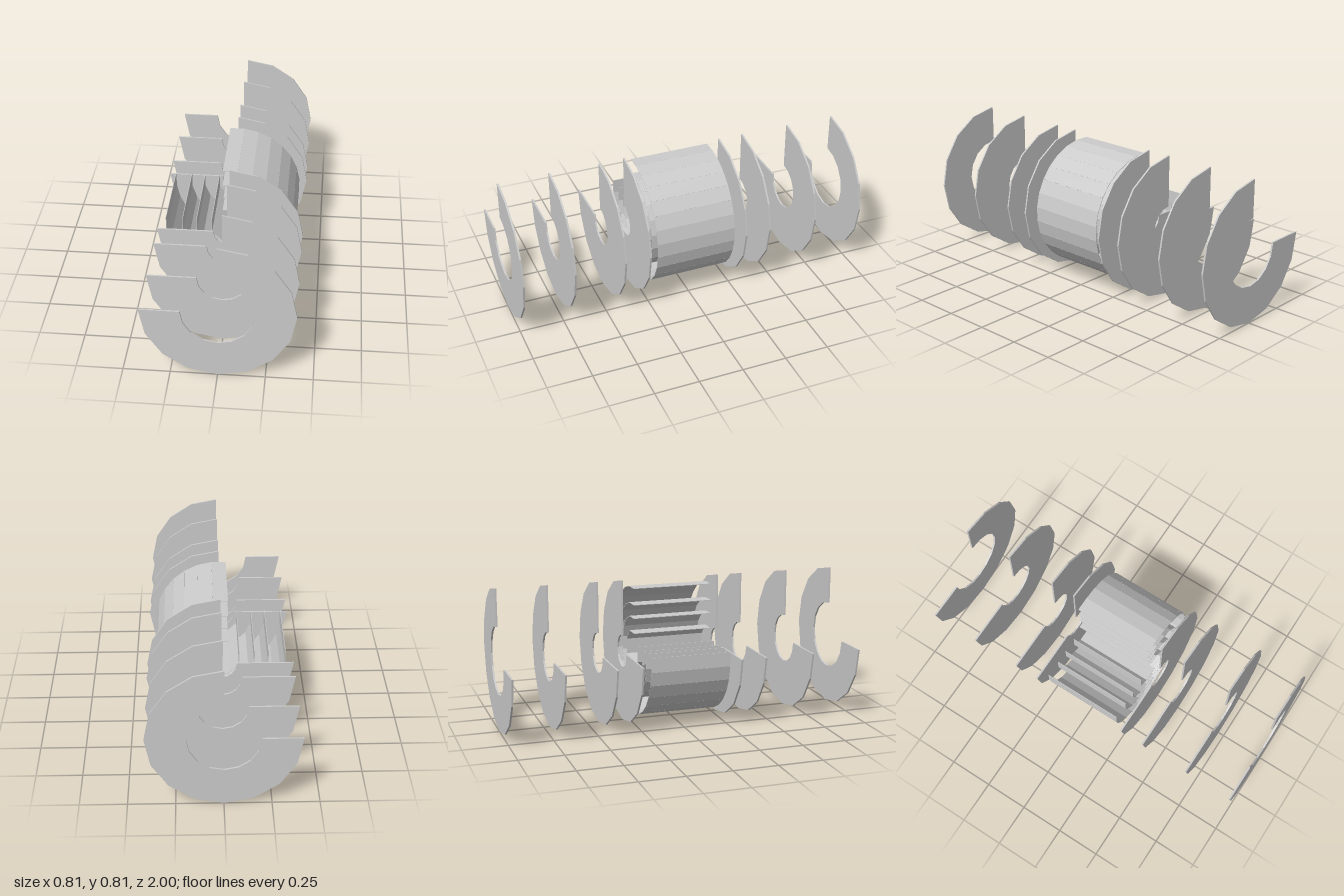
import * as THREE from 'three';

const CENTRE_Y = 0.405;
const START = -Math.PI;          // the quarter with x < 0 above the axis is cut away
const SWEEP = Math.PI * 1.5;

const material = new THREE.MeshStandardMaterial({
  color: 0xcccccc, flatShading: true, side: THREE.DoubleSide,
});

// Thin three-quarter ring with straight facets
function makeDisc(inner, outer, thickness) {
  const steps = 12;
  const points = [];
  const add = (r, i) => {
    const a = START + (SWEEP * i) / steps;
    points.push(new THREE.Vector2(r * Math.cos(a), r * Math.sin(a)));
  };
  for (let i = 0; i <= steps; i++) add(outer, i);
  for (let i = steps; i >= 0; i--) add(inner, i);
  const geometry = new THREE.ExtrudeGeometry(new THREE.Shape(points), {
    depth: thickness, bevelEnabled: false,
  });
  return geometry.translate(0, 0, -thickness / 2);
}

// Layer of flat panels set around the axis, one panel on each cut edge
function makeBarrelLayer(radius, count, length) {
  const layer = new THREE.Group();
  const step = (Math.PI * 2) / count;
  const thickness = 0.003;
  const width = 2 * radius * Math.tan(step / 2);
  const geometry = new THREE.BoxGeometry(thickness, width, length);
  for (let i = 0; i <= count * 0.75; i++) {
    const a = START + i * step;
    const panel = new THREE.Mesh(geometry, material);
    panel.name = 'barrelPanel';
    panel.position.set(radius * Math.cos(a), radius * Math.sin(a), 0);
    panel.rotation.z = a;
    layer.add(panel);
  }
  return layer;
}

export function createModel() {
  const model = new THREE.Group();
  model.name = 'cutawayBarrelAndDiscs';

  const assembly = new THREE.Group();
  assembly.name = 'assembly';
  assembly.position.y = CENTRE_Y;
  model.add(assembly);

  // Nested barrel layers: radius, panels in a full turn
  const layers = [[0.105, 8], [0.19, 16], [0.268, 20], [0.362, 28]];
  layers.forEach(([radius, count], i) => {
    const layer = makeBarrelLayer(radius, count, 0.457);
    layer.name = `barrelLayer${i + 1}`;
    assembly.add(layer);
  });

  // End discs, mirrored front and back: distance, hole radius
  const discs = [[0.284, 0.091], [0.427, 0.114], [0.711, 0.138], [0.995, 0.192]];
  discs.forEach(([z, inner], i) => {
    const geometry = makeDisc(inner, 0.405, 0.01);
    for (const side of [1, -1]) {
      const disc = new THREE.Mesh(geometry, material);
      disc.name = `${side > 0 ? 'front' : 'back'}Disc${i + 1}`;
      disc.position.z = side * z;
      assembly.add(disc);
    }
  });

  return model;
}
